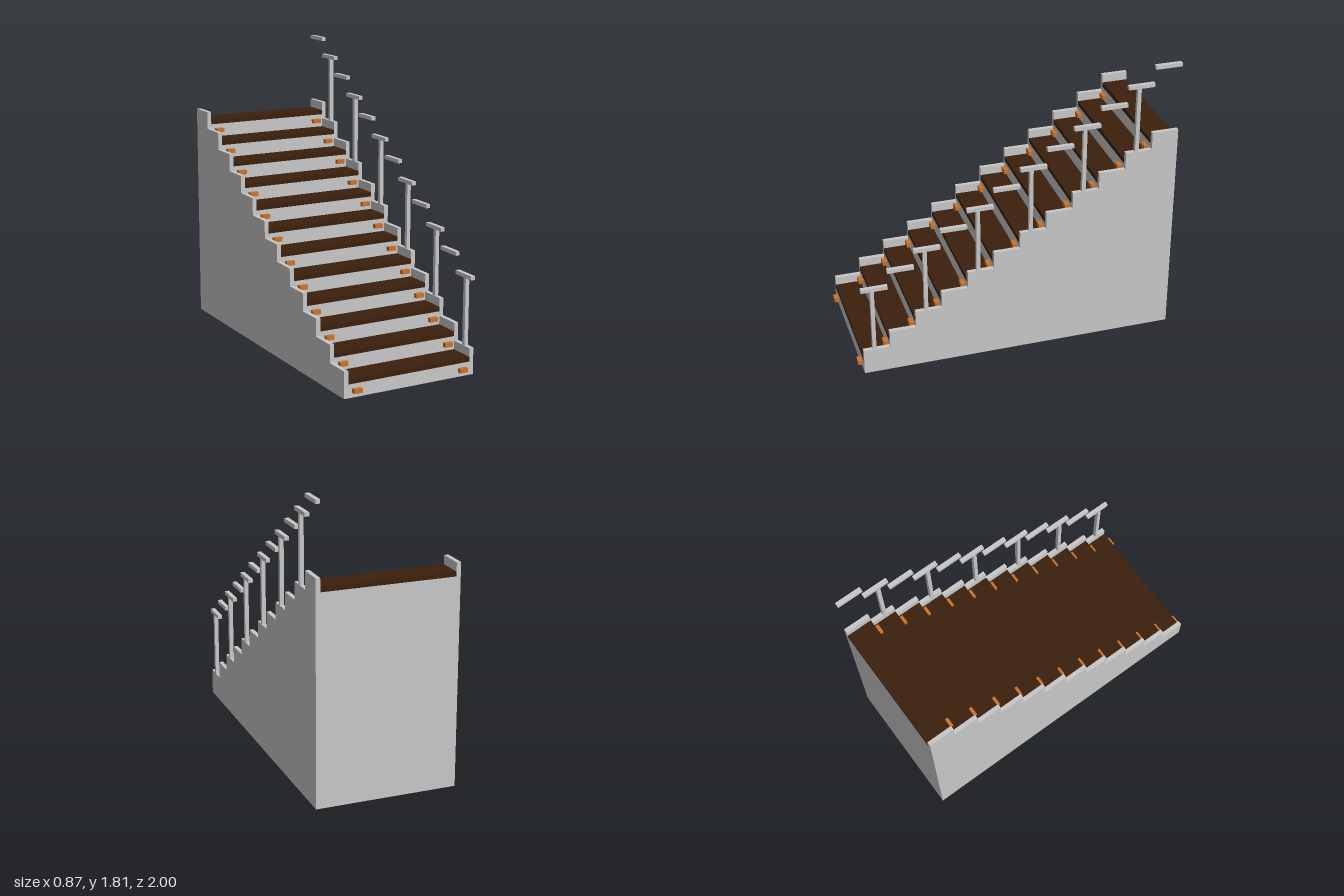
import * as THREE from 'three';

const STEPS = 12;
const RISE = 0.1098;
const FRONT = 0.972;
const BACK = -1;
const RUN = (FRONT - BACK) / STEPS;
const INNER = 0.41;   // half width between the side walls
const WALL = 0.027;   // side wall thickness
const TREAD = 0.028;  // tread thickness

export function createModel() {
  const grey = new THREE.MeshStandardMaterial({ color: 0xc8c8c8 });
  grey.name = 'light grey';
  const wood = new THREE.MeshStandardMaterial({ color: 0x3b200d });
  wood.name = 'dark wood';
  const orange = new THREE.MeshStandardMaterial({ color: 0xcc722a });
  orange.name = 'orange lamp';

  const model = new THREE.Group();
  model.name = 'staircase';

  // Box given by its extents on each axis
  function box(name, material, [x0, x1], [y0, y1], [z0, z1]) {
    const mesh = new THREE.Mesh(new THREE.BoxGeometry(x1 - x0, y1 - y0, z1 - z0), material);
    mesh.position.set((x0 + x1) / 2, (y0 + y1) / 2, (z0 + z1) / 2);
    mesh.name = name;
    model.add(mesh);
  }

  // Stepped side walls: profile drawn with shape x = -z, then turned upright along x
  const wallTop = i => 0.164 + i * RISE;
  const profile = new THREE.Shape();
  profile.moveTo(-FRONT, 0);
  for (let i = 0; i < STEPS; i++) {
    profile.lineTo(-FRONT + i * RUN, wallTop(i));
    profile.lineTo(-FRONT + (i + 1) * RUN, wallTop(i));
  }
  profile.lineTo(-BACK, 0);
  profile.closePath();
  const wallGeometry = new THREE.ExtrudeGeometry(profile, { depth: WALL, bevelEnabled: false });
  wallGeometry.rotateY(Math.PI / 2);
  for (const [name, x] of [['leftWall', INNER], ['rightWall', -INNER - WALL]]) {
    const wall = new THREE.Mesh(wallGeometry, grey);
    wall.name = name;
    wall.position.x = x;
    model.add(wall);
  }

  for (let i = 0; i < STEPS; i++) {
    const y = i * RISE;
    const z = FRONT - i * RUN;
    const treadTop = y + 0.11;

    // Riser and tread
    box('riser', grey, [-INNER, INNER], [y, treadTop - TREAD], [z - 0.015, z]);
    box('tread', wood, [-INNER, INNER], [treadTop - TREAD, treadTop], [z - RUN, z]);

    // Step lamps set through the riser
    for (const x of [-0.357, 0.357]) {
      box('stepLamp', orange, [x - 0.027, x + 0.027], [y + 0.029, y + 0.055], [z - 0.025, z + 0.028]);
    }

    // Handrail segment, with a post under every other one
    const railY = 0.577 + y;
    box('handrail', grey, [INNER, INNER + WALL], [railY, railY + 0.024], [z - RUN, z]);
    if (i % 2 === 0) {
      const postZ = z - 0.068;
      box('railPost', grey, [INNER + 0.001, INNER + WALL - 0.001], [wallTop(i), railY],
        [postZ - 0.012, postZ + 0.012]);
    }
  }

  // Back wall up to the underside of the top tread
  const backTop = (STEPS - 1) * RISE + 0.11 - TREAD;
  box('backWall', grey, [-INNER, INNER], [0, backTop], [BACK, BACK + 0.015]);

  return model;
}
